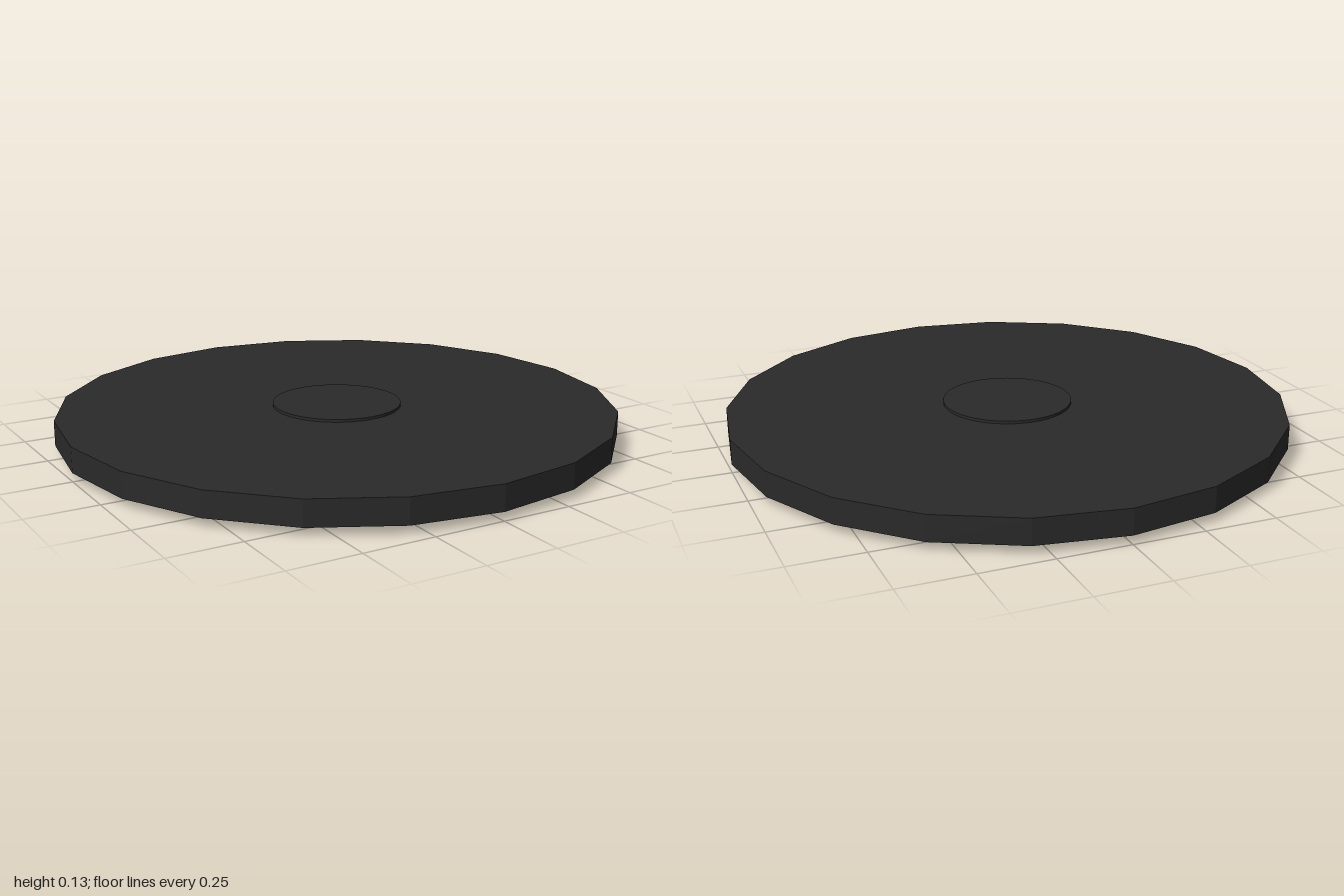
import * as THREE from 'three';

export function createModel() {
  const model = new THREE.Group();
  const darkGrey = new THREE.MeshStandardMaterial({ color: 0x2a2a2a });
  darkGrey.name = 'darkGrey';

  const add = (name, geometry, y) => {
    const mesh = new THREE.Mesh(geometry, darkGrey);
    mesh.name = name;
    mesh.position.y = y;
    model.add(mesh);
    return mesh;
  };

  // Twenty-sided slab with flat faceted rim
  const slab = new THREE.CylinderGeometry(1, 1, 0.09, 20).toNonIndexed();
  slab.computeVertexNormals();
  add('disc', slab, 0.075);

  // Low raised button in the middle of the top
  add('centreButton', new THREE.CylinderGeometry(0.23, 0.23, 0.03, 48), 0.115);

  // Six-sided ring foot half sunk into the underside, smooth shaded
  const ring = new THREE.TorusGeometry(0.68, 0.066, 6, 20);
  ring.rotateX(Math.PI / 2);
  add('footRing', ring, 0.0572);

  return model;
}
